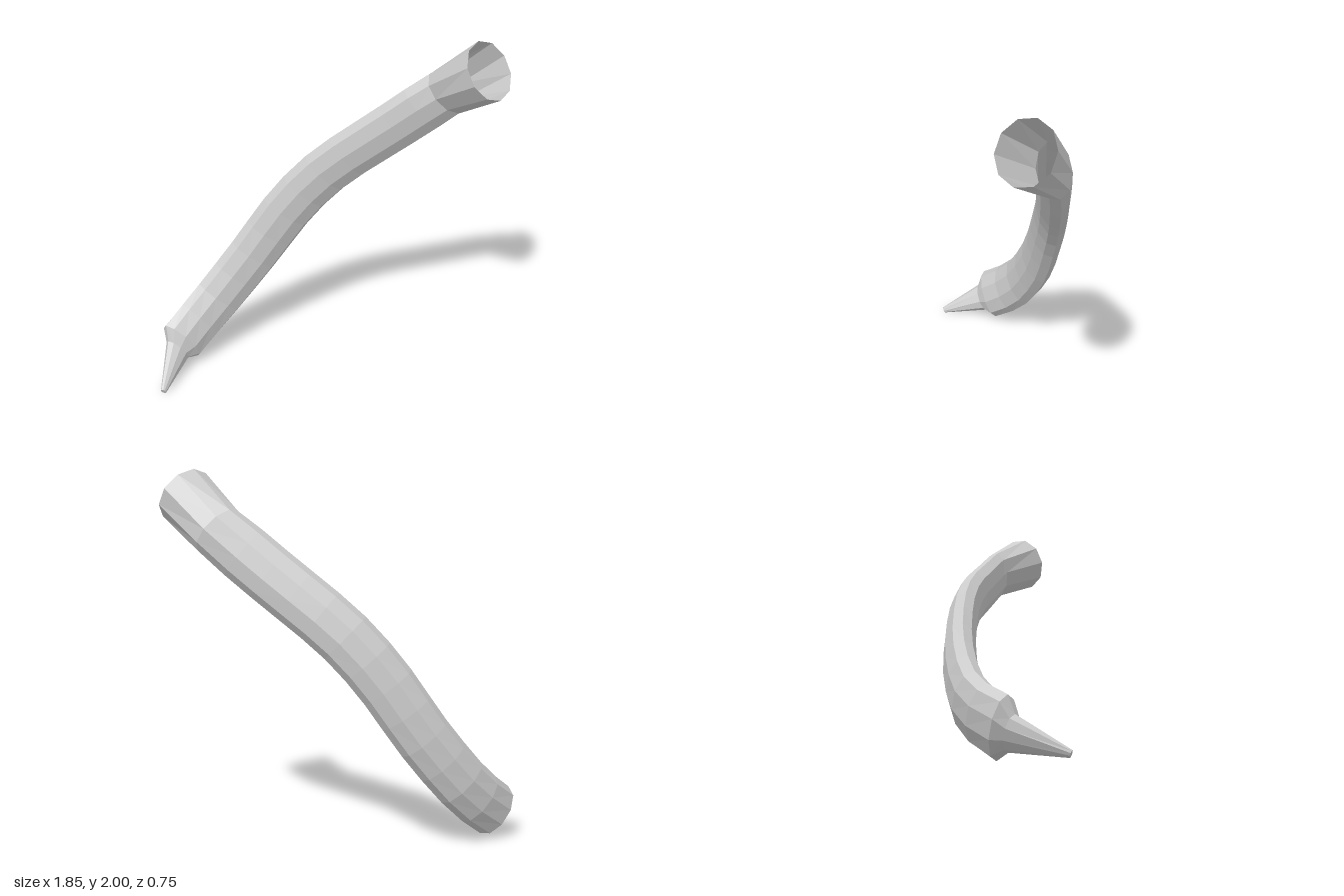
import * as THREE from 'three';

const SIDES = 10;
const ACROSS = new THREE.Vector3(0.62, -0.78, 0); // wide axis of the oval section
const ROLL = 0.24; // turn of the oval about the path
const V = (x, y, z) => new THREE.Vector3(x, y, z);

// One oval ring: centre, direction of travel, wide and thin radii
function ring(center, dir, wide, thin) {
  const t = dir.clone().normalize();
  const u = ACROSS.clone().addScaledVector(t, -ACROSS.dot(t)).normalize().applyAxisAngle(t, ROLL);
  const v = u.clone().cross(t);
  return Array.from({ length: SIDES }, (_, i) => {
    const a = (i / SIDES) * Math.PI * 2;
    return center.clone().addScaledVector(u, Math.cos(a) * wide).addScaledVector(v, Math.sin(a) * thin);
  });
}

// Skin a run of rings, optionally closing the first one
function loft(name, rings, capStart = false) {
  const pos = [];
  const tri = (...pts) => pts.forEach((p) => pos.push(p.x, p.y, p.z));
  for (let r = 0; r < rings.length - 1; r++) {
    for (let i = 0; i < SIDES; i++) {
      const j = (i + 1) % SIDES;
      const [a, b, c, d] = [rings[r][i], rings[r + 1][i], rings[r + 1][j], rings[r][j]];
      tri(a, b, c);
      tri(a, c, d);
    }
  }
  if (capStart) for (let i = 1; i < SIDES - 1; i++) tri(rings[0][0], rings[0][i], rings[0][i + 1]);
  const geo = new THREE.BufferGeometry();
  geo.setAttribute('position', new THREE.Float32BufferAttribute(pos, 3));
  geo.computeVertexNormals();
  const mesh = new THREE.Mesh(geo, new THREE.MeshStandardMaterial({
    color: 0xcccccc, flatShading: true, side: THREE.DoubleSide,
  }));
  mesh.name = name;
  return mesh;
}

export function createModel() {
  const group = new THREE.Group();
  group.name = 'curvedTubeWithSpike';

  // Centre line of the curved body, bottom to top
  const path = new THREE.CatmullRomCurve3([
    V(-0.825, 0.163, 0.065), V(-0.757, 0.237, -0.023), V(-0.655, 0.357, -0.118),
    V(-0.45, 0.63, -0.222), V(-0.23, 0.95, -0.273), V(-0.037, 1.167, -0.288),
    V(0.335, 1.47, -0.281), V(0.605, 1.69, -0.27),
  ]);
  const endDir = V(0.3, 0.45, -0.84);
  const endRing = ring(path.getPoint(0), endDir, 0.15, 0.086);
  const mitreRing = ring(path.getPoint(1), V(0.66, 0.5, 0.52), 0.143, 0.094);

  const body = [endRing];
  const steps = 13;
  for (let i = 1; i < steps; i++) {
    const t = i / steps;
    body.push(ring(path.getPointAt(t), path.getTangentAt(t), 0.15, 0.081));
  }
  body.push(mitreRing);
  group.add(loft('tubeBody', body));

  // Shoulder and pointed spike at the lower end
  const spikeBase = ring(V(-0.84, 0.13, 0.11), endDir, 0.086, 0.058);
  const spikeTip = ring(V(-0.85, 0.02, 0.365), V(0, 0.4, -0.9), 0.018, 0.014);
  group.add(loft('spikeShoulder', [spikeBase, endRing]));
  group.add(loft('spike', [spikeTip, spikeBase], true));

  // Open round mouth at the upper end
  const rim = ring(V(0.812, 1.867, -0.138), V(0.7, 0.53, 0.47), 0.158, 0.156);
  group.add(loft('openMouth', [mitreRing, rim]));

  return group;
}
